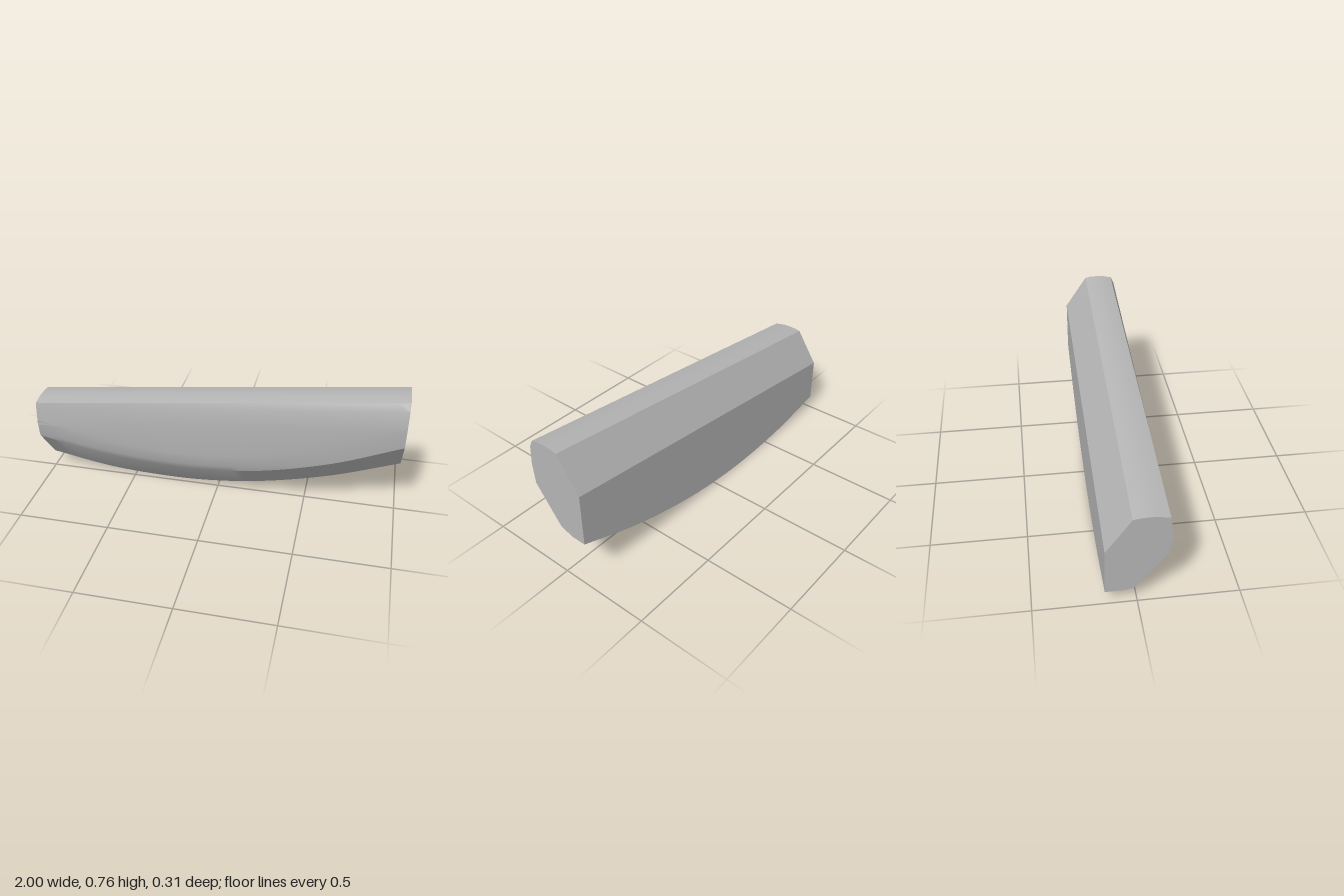
import * as THREE from 'three';
import { toCreasedNormals } from 'three/addons/utils/BufferGeometryUtils.js';

// Stations along the length; each lower rail gives z and y at these stations
const STATIONS = [-1, -0.65, -0.3, 0, 0.3, 0.65, 1];
const keelY = x => 0.1645 * (x + 0.3) ** 2 - (x < -0.3 ? 0.004 * (x + 0.3) ** 2 : 0);
const topY = x => 0.643 + 0.12 * x;

const creaseY = [0.295, 0.222, 0.19, 0.198, 0.245, 0.347, 0.495];
const creaseZ = [0.14, 0.133, 0.128, 0.13, 0.137, 0.143, 0.145];
const softY = [0.025, 0.035, 0.04, 0.04, 0.035, 0.03, 0.025];
const keelZ = [-0.06, -0.045, -0.032, -0.04, -0.065, -0.07, -0.07];
const chineZ = [-0.012, -0.022, -0.03, -0.025, -0.018, -0.008, 0.002];
const chineRise = [0.014, 0.005, 0, 0.002, 0.008, 0.018, 0.027];

function rail(z, y) {
  return new THREE.CatmullRomCurve3(
    STATIONS.map((x, i) => new THREE.Vector3(x, y(x, i), z(i))), false, 'catmullrom', 0.5);
}

function sectionRails() {
  const top = (z, drop) => rail(() => z, x => topY(x) - drop);
  return [
    // flat back and underside, then up the chamfered front
    rail(() => -0.155, x => keelY(x)),
    rail(i => keelZ[i], x => keelY(x)),
    rail(i => chineZ[i], (x, i) => keelY(x) + chineRise[i]),
    rail(i => creaseZ[i], (x, i) => creaseY[i]),
    rail(i => 0.147 + (i === 6 ? 0.001 : 0), (x, i) => creaseY[i] + softY[i]),
    rail(() => 0.155, (x, i) => creaseY[i] + 0.11),
    // rounded top and sloping rear bevel
    top(0.155, 0.15),
    top(0.148, 0.053),
    rail(i => 0.142 - i * 0.002, x => topY(x) - 0.013),
    top(0.08, 0.001),
    top(0.04, 0),
    top(0, 0.002),
    top(-0.03, 0.008),
    top(-0.155, 0.192),
  ];
}

// Skin between neighbouring rails, closed by a flat cap at each end
function loftGeometry(rails, steps) {
  const n = rails.length;
  const pos = [];
  const index = [];
  for (let s = 0; s <= steps; s++) {
    for (const r of rails) pos.push(...r.getPoint(s / steps).toArray());
  }
  for (let s = 0; s < steps; s++) {
    for (let i = 0; i < n; i++) {
      const j = (i + 1) % n;
      const a = s * n + i, b = s * n + j, c = a + n, d = b + n;
      index.push(a, c, b, b, c, d);
    }
  }
  const end = steps * n;
  for (let i = 1; i < n - 1; i++) {
    index.push(0, i, i + 1);
    index.push(end, end + i + 1, end + i);
  }
  const geo = new THREE.BufferGeometry();
  geo.setAttribute('position', new THREE.Float32BufferAttribute(pos, 3));
  geo.setIndex(index);
  // Make sure the skin faces outward, whichever way the loop runs
  let volume = 0;
  const p = k => new THREE.Vector3().fromArray(pos, 3 * k);
  for (let k = 0; k < index.length; k += 3) {
    volume += p(index[k]).dot(p(index[k + 1]).cross(p(index[k + 2])));
  }
  if (volume < 0) geo.setIndex(index.reverse());
  return toCreasedNormals(geo, 0.35);
}

export function createModel() {
  const grey = new THREE.MeshStandardMaterial({ color: 0xb4b4b4 });
  grey.name = 'light grey';
  const body = new THREE.Mesh(loftGeometry(sectionRails(), 36), grey);
  body.name = 'curvedBody';
  const model = new THREE.Group();
  model.name = 'curvedBar';
  model.add(body);
  return model;
}
